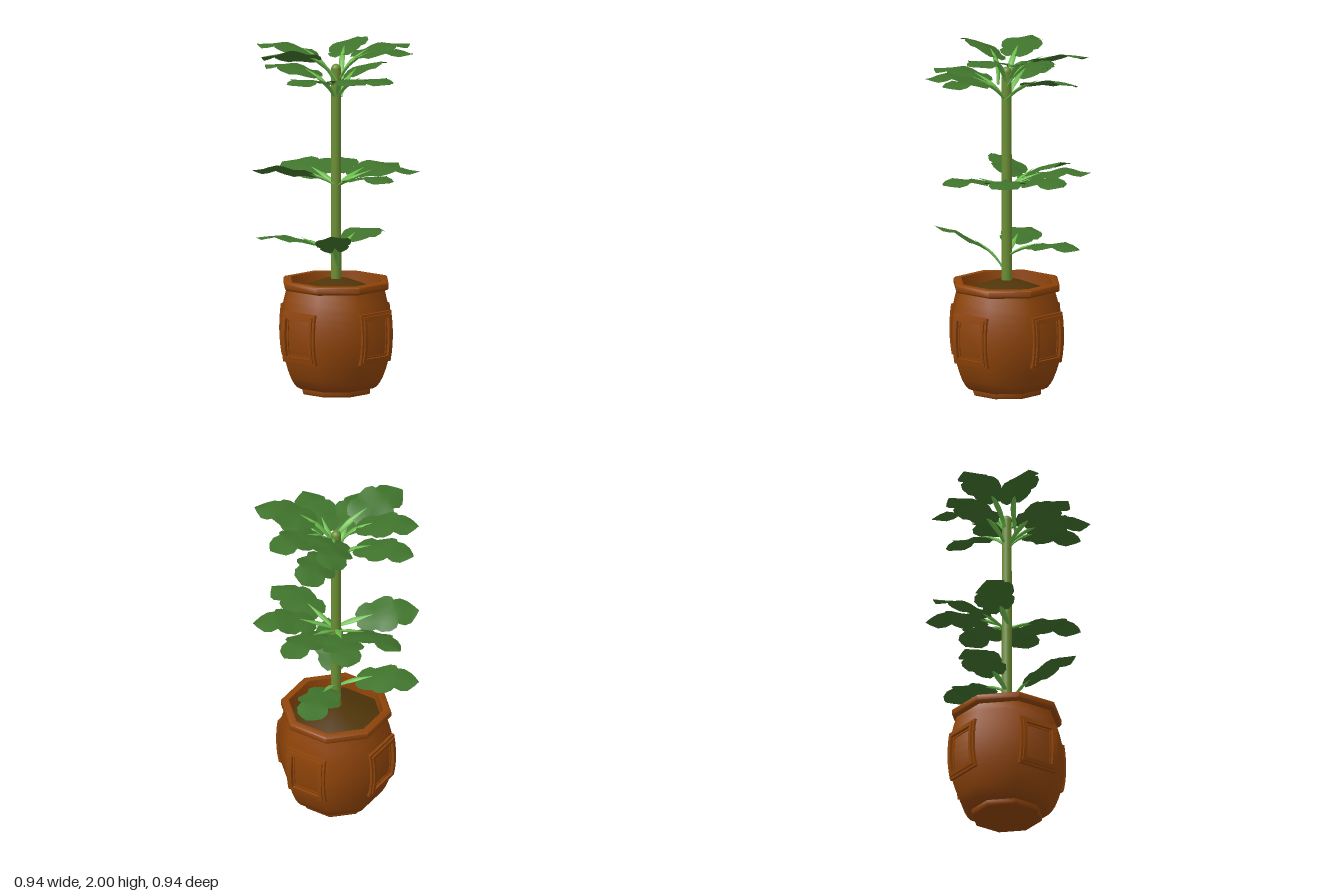
import * as THREE from 'three';
import { toCreasedNormals } from 'three/addons/utils/BufferGeometryUtils.js';

const mat = (name, color, side = THREE.FrontSide) => {
  const m = new THREE.MeshStandardMaterial({ color, side });
  m.name = name;
  return m;
};

// Distance from the pot axis to a flat side at height y
const bulge = y => 0.31 - (y > 0.35 ? 0.64 : 0.8) * (y - 0.35) ** 2;

// Half outline of a lobed, pointed leaf: distance along, half width
const LENGTH = 0.355;
const OUTLINE = [[0, 0], [-0.005, 0.04], [0.02, 0.078], [0.06, 0.098], [0.095, 0.09], [0.125, 0.11],
  [0.175, 0.12], [0.21, 0.106], [0.222, 0.082], [0.26, 0.092], [0.3, 0.075], [0.335, 0.032], [LENGTH, 0]];

// Leaf blade: rows from edge to edge, arched lengthwise and creased along the midrib
function leafGeometry(tilt) {
  const pos = [], idx = [], n = OUTLINE.length, cols = 5;
  OUTLINE.forEach(([ex, w], i) => {
    const mx = LENGTH * i / (n - 1);
    for (let j = 0; j < cols; j++) {
      const v = j / 2 - 1, a = Math.abs(v);
      const x = mx + (ex - mx) * a, z = v * w, t = x / LENGTH;
      const wave = 0.008 * Math.sin(t * 13) * a;
      pos.push(x, 0.035 * Math.sin(Math.PI * t * 0.85) - 0.1 * Math.abs(z) + wave + tilt * x, z);
    }
  });
  for (let i = 0; i < n - 1; i++) for (let j = 0; j < cols - 1; j++) {
    const a = i * cols + j, b = a + cols;
    idx.push(a, a + 1, b, a + 1, b + 1, b);
  }
  const g = new THREE.BufferGeometry();
  g.setAttribute('position', new THREE.Float32BufferAttribute(pos, 3));
  g.setIndex(idx);
  g.computeVertexNormals();
  return g;
}

// Flattened stalk that widens toward the leaf and ends in a spike on the midrib
function stalkGeometry(lift, tilt) {
  const curve = new THREE.CubicBezierCurve3(
    new THREE.Vector3(0.015, -lift, 0), new THREE.Vector3(0.05, -lift * 0.5, 0),
    new THREE.Vector3(0.09, -0.01, 0), new THREE.Vector3(0.21, 0.034 + tilt * 0.08, 0));
  const g = new THREE.CylinderGeometry(1, 1, 1, 8, 10);
  const p = g.attributes.position;
  for (let i = 0; i < p.count; i++) {
    const t = THREE.MathUtils.clamp(p.getY(i) + 0.5, 0, 1);
    const r = t < 0.65 ? 0.009 + 0.015 * t : 0.0188 * (1.02 - t) / 0.37;
    const c = curve.getPoint(t), d = curve.getTangent(t), s = p.getX(i) * r * 0.5;
    p.setXYZ(i, c.x + d.y * s, c.y - d.x * s, p.getZ(i) * r);
  }
  g.computeVertexNormals();
  return g;
}

export function createModel() {
  const root = new THREE.Group();
  root.name = 'pottedPlant';
  const clay = mat('clay', 0x8f4409);
  const soilMat = mat('soil', 0x503509);
  const stemMat = mat('stemGreen', 0x6b8e34);
  const stalkMat = mat('stalkGreen', 0x6cbc4c);
  const leafMat = mat('leafGreen', 0x40742c, THREE.DoubleSide);
  const add = (parent, name, geo, m) => {
    const mesh = new THREE.Mesh(geo, m);
    mesh.name = name;
    parent.add(mesh);
    return mesh;
  };

  const plant = new THREE.Group();
  plant.name = 'plantAndPot';
  plant.position.x = -0.012;
  root.add(plant);

  // Eight-sided pot with foot, barrel body, rim and inner wall, softly shaded around
  const profile = [[0, 0], [0.185, 0], [0.19, 0.008], [0.19, 0.03], [0.205, 0.034], [0.225, 0.045], [0.243, 0.068]];
  for (let i = 0; i <= 10; i++) {
    const y = 0.1 + 0.05 * i;
    profile.push([bulge(y), y]);
  }
  profile.push([0.288, 0.606], [0.294, 0.614], [0.294, 0.642], [0.285, 0.65], [0.252, 0.65], [0.245, 0.56]);
  const k = 1 / Math.cos(Math.PI / 8);
  const octagon = pts => toCreasedNormals(new THREE.LatheGeometry(
    pts.map(([r, y]) => new THREE.Vector2(r * k, y)), 8, Math.PI / 8), 0.9);
  add(plant, 'pot', octagon(profile), clay);
  add(plant, 'soil', octagon([[0.25, 0.575], [0.18, 0.605], [0.07, 0.65], [0, 0.657]]), soilMat);

  // Curved, stepped frames on the four main sides
  const bar = (x, y, w, h, out) => {
    const g = new THREE.BoxGeometry(w, h, 0.04, 1, Math.max(1, Math.round(h / 0.05)), 1);
    g.translate(x, y, out - 0.02);
    const p = g.attributes.position;
    for (let i = 0; i < p.count; i++) p.setZ(i, p.getZ(i) + bulge(p.getY(i)));
    g.computeVertexNormals();
    return g;
  };
  const frame = (group, name, hw, hh, t, out) => {
    for (const s of [-1, 1]) {
      add(group, name, bar(s * (hw - t / 2), 0.345, t, hh * 2, out), clay);
      add(group, name, bar(0, 0.345 + s * (hh - t / 2), (hw - t) * 2, t, out), clay);
    }
  };
  for (let i = 0; i < 4; i++) {
    const panel = new THREE.Group();
    panel.name = 'sidePanel';
    panel.rotation.y = i * Math.PI / 2;
    frame(panel, 'outerFrame', 0.125, 0.146, 0.014, 0.014);
    frame(panel, 'middleFrame', 0.111, 0.132, 0.022, 0.023);
    frame(panel, 'innerFrame', 0.089, 0.11, 0.01, 0.006);
    plant.add(panel);
  }

  // Stem with a rounded top
  add(plant, 'stem', new THREE.CylinderGeometry(0.028, 0.03, 1.25, 16, 1, true).translate(0, 1.235, 0), stemMat);
  add(plant, 'stemTip', new THREE.SphereGeometry(0.028, 16, 8, 0, Math.PI * 2, 0, Math.PI / 2)
    .translate(0, 1.86, 0), stemMat);

  // Leaf tiers: height of leaf base, stalk drop, slope, size,
  // then each leaf's direction in degrees from +x to +z and its sideways roll
  const tiers = [
    [0.845, 0.06, 0, 1, [[245, 0.1], [348, 0]]],
    [0.825, 0.14, 0.4, 0.86, [[139, 0.1]]],
    [1.235, 0.05, 0.03, 1, [[5, 0.1], [50, 0], [97, 0], [228, 0.35], [278, -0.3], [319, 0]]],
    [1.795, 0.1, 0.05, 1, [[97, 0], [124, 0], [168, 0], [259, 0], [352, -0.25]]],
    [1.92, 0.14, 0.08, 1, [[19, 0], [70, 0], [198, 0.35], [246, 0], [333, -0.25]]],
  ];
  tiers.forEach(([y, lift, tilt, size, leaves]) => {
    const blade = leafGeometry(tilt).translate(0.12, 0, 0);
    const stalk = stalkGeometry(lift, tilt);
    leaves.forEach(([deg, roll], i) => {
      const leaf = new THREE.Group();
      leaf.name = 'leaf';
      leaf.position.y = y + (i % 2) * 0.01;
      leaf.rotation.set(roll, -THREE.MathUtils.degToRad(deg), 0, 'YXZ');
      leaf.scale.setScalar(size);
      add(leaf, 'leafBlade', blade, leafMat);
      add(leaf, 'leafStalk', stalk, stalkMat);
      plant.add(leaf);
    });
  });
  return root;
}
